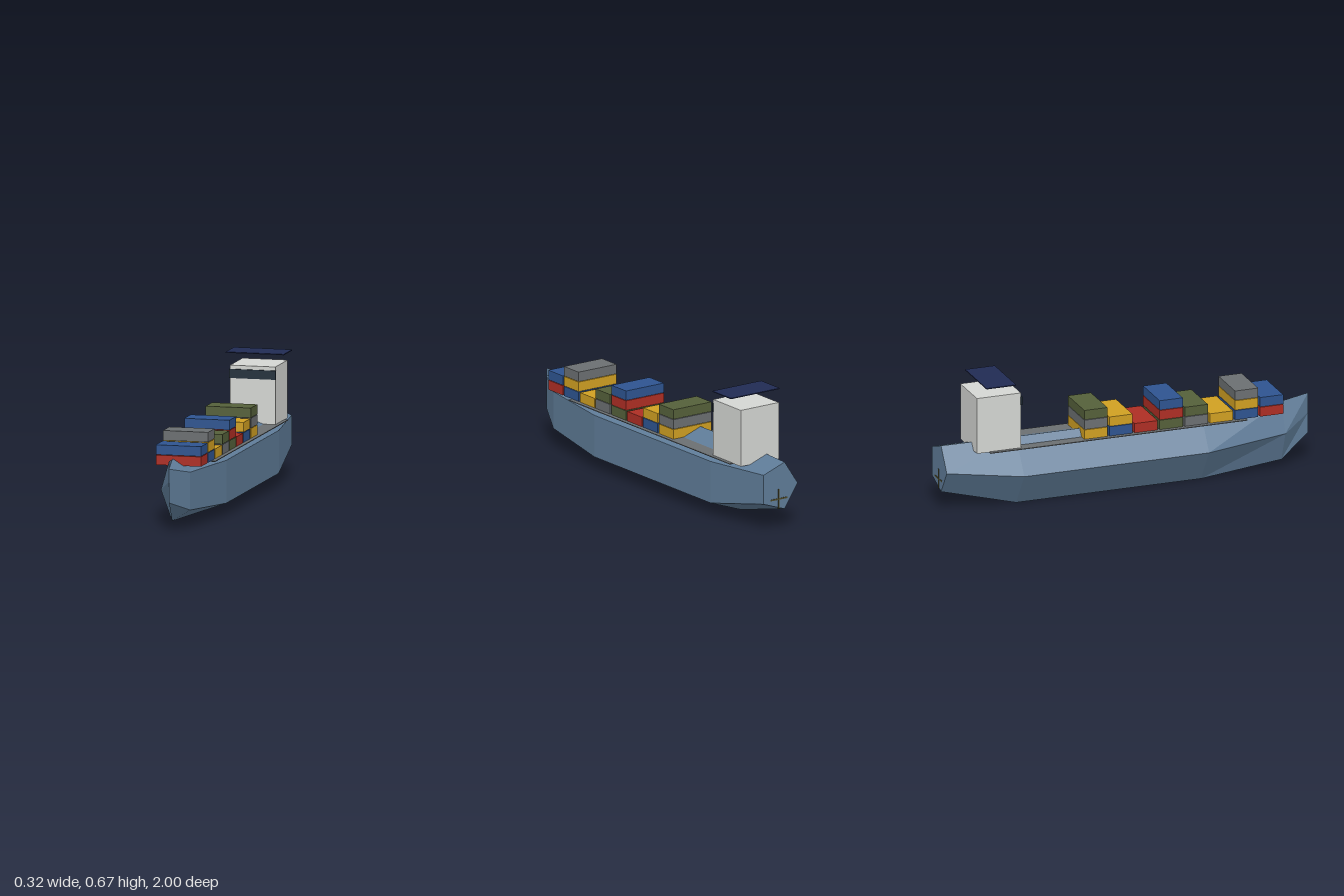
import * as THREE from 'three';

const mat = (name, color, extra = {}) => {
  const m = new THREE.MeshStandardMaterial({ color, ...extra });
  m.name = name;
  return m;
};

const CX = 0.0076; // centreline of the ship
const DECK_TOP = 0.317;

// Five-sided hull lofted through stations of [z, centre height, half width, half height]
function hullGeometry() {
  const stations = [
    [1, 0.262, 0.0002, 0.112],
    [0.845, 0.195, 0.085, 0.165],
    [0.4, 0.178, 0.1686, 0.187],
    [-0.6, 0.178, 0.1686, 0.187],
    [-1, 0.228, 0.118, 0.13],
  ];
  const sides = 5;
  const point = (i, k) => {
    const [z, cy, rx, ry] = stations[i];
    const a = ((k % sides) + 0.5) * (2 * Math.PI / sides);
    return [CX + rx * Math.cos(a), cy + ry * Math.sin(a), z];
  };
  const pos = [];
  const last = stations.length - 1;
  for (let k = 0; k < sides; k++) {
    for (let i = 0; i < last; i++) {
      const a = point(i, k), b = point(i, k + 1), c = point(i + 1, k + 1), d = point(i + 1, k);
      pos.push(...a, ...d, ...c, ...a, ...c, ...b);
    }
    // transom
    pos.push(CX, stations[last][1], stations[last][0], ...point(last, k + 1), ...point(last, k));
  }
  const g = new THREE.BufferGeometry();
  g.setAttribute('position', new THREE.Float32BufferAttribute(pos, 3));
  g.computeVertexNormals();
  return g;
}

export function createModel() {
  const ship = new THREE.Group();
  ship.name = 'containerShip';

  const M = {
    hull: mat('hull steel blue', 0x5f7c98, { flatShading: true }),
    grey: mat('deck grey', 0x6b6f71),
    red: mat('container red', 0xae2e24),
    blue: mat('container blue', 0x2e5490),
    yellow: mat('container yellow', 0xd0a022),
    olive: mat('container olive', 0x55603a),
    tower: mat('tower light grey', 0xd4d6d3),
    glass: mat('bridge glass', 0x22303c),
    roof: mat('roof navy', 0x212b54),
    bronze: mat('propeller bronze', 0x4e4a2a),
  };

  const box = (name, material, [w, h, d], [x, y, z], parent = ship) => {
    const mesh = new THREE.Mesh(new THREE.BoxGeometry(w, h, d), material);
    mesh.name = name;
    mesh.position.set(x, y, z);
    parent.add(mesh);
    return mesh;
  };

  const hull = new THREE.Mesh(hullGeometry(), M.hull);
  hull.name = 'hull';
  ship.add(hull);

  box('deck', M.grey, [0.277, 0.004, 1.39], [CX, DECK_TOP - 0.002, -0.075]);

  // Bridge tower with window band and raised roof
  box('bridgeTower', M.tower, [0.237, 0.297, 0.238], [CX, 0.4635, -0.718]);
  box('bridgeWindows', M.glass, [0.243, 0.046, 0.009], [CX, 0.57, -0.5965]);
  box('bridgeRoof', M.roof, [0.305, 0.005, 0.16], [CX, 0.67, -0.718]);

  // Container stacks from bow to stern, each listed bottom to top
  const stacks = [
    ['red', 'blue'],
    ['blue', 'yellow', 'grey'],
    ['yellow'],
    ['grey', 'olive'],
    ['olive', 'red', 'blue'],
    ['red'],
    ['blue', 'yellow'],
    ['yellow', 'grey', 'olive'],
  ];
  const containers = new THREE.Group();
  containers.name = 'containers';
  ship.add(containers);
  stacks.forEach((stack, i) => stack.forEach((colour, tier) => {
    box('container', M[colour], [0.237, 0.05, 0.125],
      [CX, DECK_TOP + 0.026 + tier * 0.0526, 0.758 - i * 0.1359], containers);
  }));

  // Crossed propeller blades at the stern
  const propeller = new THREE.Group();
  propeller.name = 'propeller';
  ship.add(propeller);
  box('verticalBlade', M.bronze, [0.008, 0.105, 0.006], [CX, 0.163, -0.999], propeller);
  box('horizontalBlade', M.bronze, [0.105, 0.008, 0.006], [CX, 0.163, -0.999], propeller);

  return ship;
}
